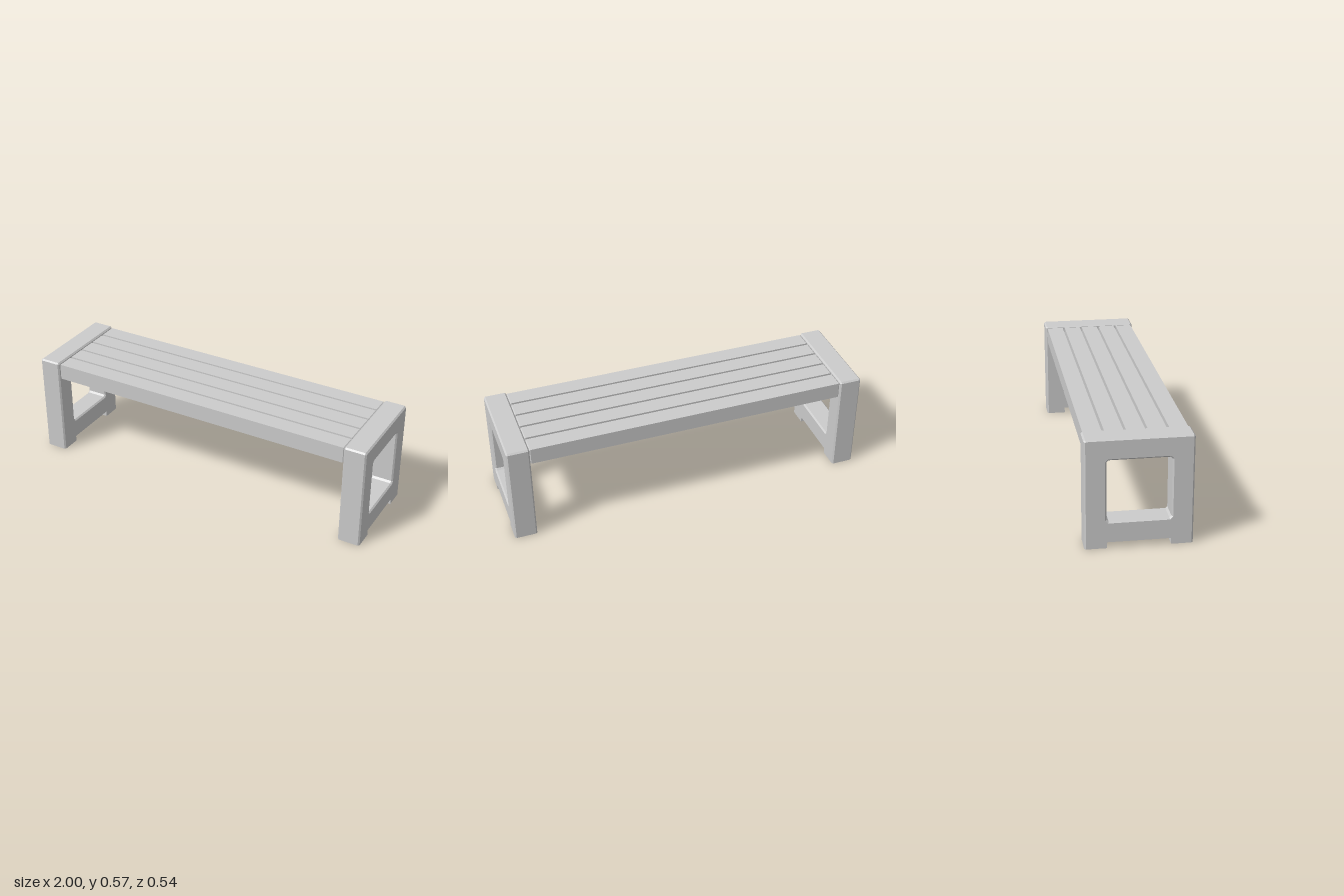
import * as THREE from 'three';

const BEVEL = 0.008;
const material = new THREE.MeshStandardMaterial({ color: 0xcccccc, flatShading: true, side: THREE.DoubleSide });

// Extrude a (z, y) outline along x, chamfered at both ends, centred on x = 0
function extrudeAlongX(shape, length) {
  const geometry = new THREE.ExtrudeGeometry(shape, {
    depth: length - 2 * BEVEL, bevelEnabled: true, bevelSegments: 1,
    bevelSize: BEVEL, bevelThickness: BEVEL, bevelOffset: -BEVEL,
  });
  geometry.translate(0, 0, -length / 2 + BEVEL);
  geometry.rotateY(Math.PI / 2);
  return geometry;
}

const outline = (points) => points.map(([x, y]) => new THREE.Vector2(x, y));

// Rectangle with cut corners
function cutRectangle(w, y0, y1, c) {
  return outline([
    [-w + c, y0], [w - c, y0], [w, y0 + c], [w, y1 - c],
    [w - c, y1], [-w + c, y1], [-w, y1 - c], [-w, y0 + c],
  ]);
}

// End frame: square window, two feet, hollow and open underneath
function endFrameGeometry() {
  const w = 0.27, top = 0.573, foot = 0.16, notch = 0.032, c = 0.008;
  const shape = new THREE.Shape(outline([
    [-w, 0], [-foot, 0], [-foot, notch], [foot, notch], [foot, 0], [w, 0],
    [w, top - c], [w - c, top], [-w + c, top], [-w, top - c],
  ]));
  shape.holes.push(new THREE.Path(cutRectangle(0.16, 0.141, 0.463, 0.01)));
  const geometry = extrudeAlongX(shape, 0.123);

  // Keep the notch and the soles square, without a chamfer
  const p = geometry.attributes.position;
  for (let i = 0; i < p.count; i++) {
    const y = p.getY(i), z = p.getZ(i);
    if (y > 0.06) continue;
    p.setY(i, y < 0.015 ? 0 : notch);
    if (Math.abs(z) < 0.2) p.setZ(i, Math.sign(z) * foot);
  }

  // Leave the soles open
  const kept = [];
  for (let i = 0; i < p.count; i += 3) {
    if (Math.max(p.getY(i), p.getY(i + 1), p.getY(i + 2)) < 0.001) continue;
    for (let k = i; k < i + 3; k++) kept.push(p.getX(k), p.getY(k), p.getZ(k));
  }
  const open = new THREE.BufferGeometry();
  open.setAttribute('position', new THREE.Float32BufferAttribute(kept, 3));
  open.computeVertexNormals();
  return open;
}

export function createModel() {
  const model = new THREE.Group();
  model.name = 'bench';

  const frame = endFrameGeometry();
  for (const side of [-1, 1]) {
    const mesh = new THREE.Mesh(frame, material);
    mesh.name = side > 0 ? 'leftEndFrame' : 'rightEndFrame';
    mesh.position.x = side * 0.9385;
    model.add(mesh);
  }

  // Five seat slats between the frames
  const w = 0.047;
  const slat = extrudeAlongX(new THREE.Shape(outline([[-w, 0.475], [w, 0.475], [w, 0.565], [-w, 0.565]])), 1.758);
  for (let i = 0; i < 5; i++) {
    const mesh = new THREE.Mesh(slat, material);
    mesh.name = `seatSlat${i + 1}`;
    mesh.position.z = (i - 2) * 0.1065;
    model.add(mesh);
  }
  return model;
}
